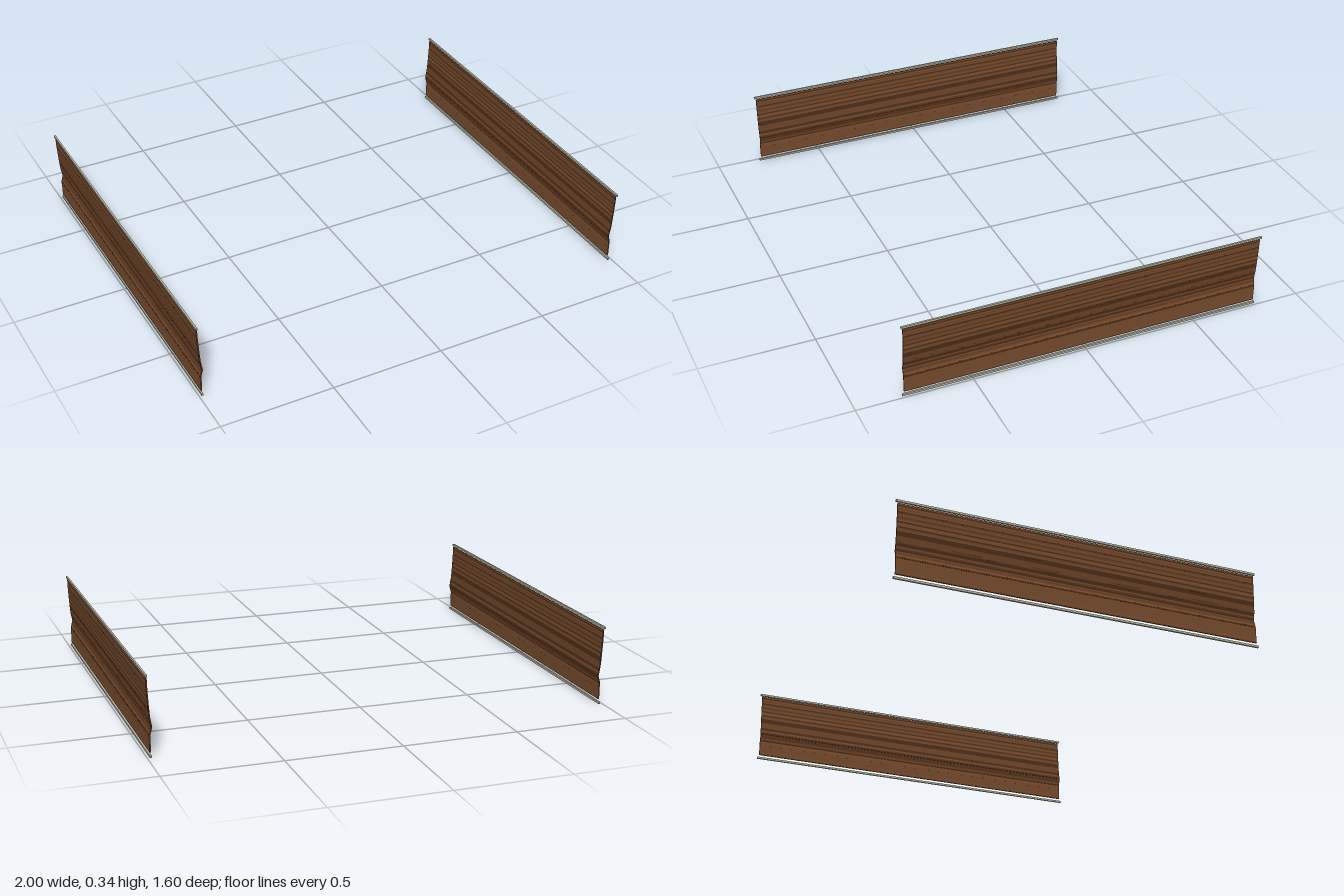
import * as THREE from 'three';

const SLATS = 44;
const LENGTH = 1.585;
const BROWNS = [0x6b4226, 0x7a4c2b, 0x5a3720, 0x4a2d1a, 0x734a2c];

// Cross-section of one panel as (x, y), bottom to top, with an inward crease.
const PROFILE = [
  [0.986, 0.02], [0.986, 0.07], [0.987, 0.092], [0.978, 0.125],
  [0.985, 0.165], [0.988, 0.2], [0.993, 0.29], [0.994, 0.33],
].map(([x, y]) => new THREE.Vector2(x, y));

function seeded(seed) {
  return () => (seed = (seed * 16807) % 2147483647) / 2147483647;
}

function addBox(group, name, size, position, material, tilt = 0) {
  const mesh = new THREE.Mesh(new THREE.BoxGeometry(...size), material);
  mesh.name = name;
  mesh.position.set(...position);
  mesh.rotation.z = tilt;
  group.add(mesh);
}

function buildPanel(name, side, materials, railMaterial) {
  const panel = new THREE.Group();
  panel.name = name;

  // Narrow lengthwise slats stacked along the creased profile
  const path = new THREE.CurvePath();
  for (let i = 1; i < PROFILE.length; i++) {
    path.add(new THREE.LineCurve(PROFILE[i - 1], PROFILE[i]));
  }
  const random = seeded(41);
  for (let i = 0; i < SLATS; i++) {
    const a = path.getPointAt(i / SLATS);
    const b = path.getPointAt((i + 1) / SLATS);
    const tilt = -Math.atan2(b.x - a.x, b.y - a.y) * side;
    const material = materials[Math.floor(random() * materials.length)];
    addBox(panel, 'slat', [0.005, a.distanceTo(b), LENGTH],
      [side * (a.x + b.x) / 2, (a.y + b.y) / 2, 0], material, tilt);
  }

  // Slim rails above and below the slats
  addBox(panel, 'topRail', [0.008, 0.009, 1.6], [side * 0.996, 0.339, 0], railMaterial);
  addBox(panel, 'bottomRail', [0.008, 0.009, 1.6], [side * 0.986, 0.0045, 0], railMaterial);
  return panel;
}

export function createModel() {
  const model = new THREE.Group();
  model.name = 'sidePanels';
  const materials = BROWNS.map((color) => new THREE.MeshStandardMaterial({ color }));
  const railMaterial = new THREE.MeshStandardMaterial({ color: 0xb8b3a0 });
  model.add(buildPanel('leftPanel', 1, materials, railMaterial));
  model.add(buildPanel('rightPanel', -1, materials, railMaterial));
  return model;
}
